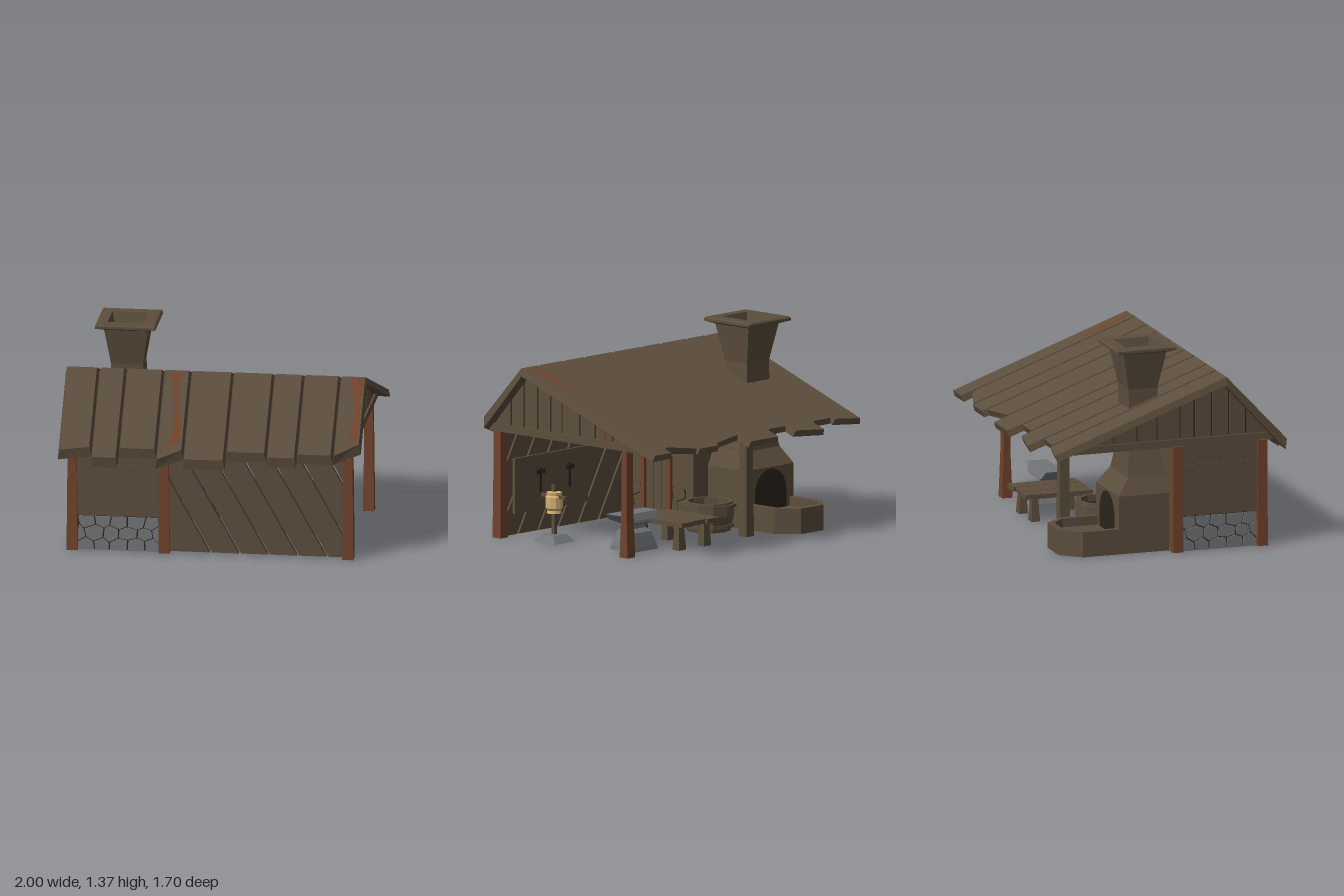
import * as THREE from 'three';

const mat = (name, color) => Object.assign(new THREE.MeshStandardMaterial({ color }), { name });
const wood = mat('weathered wood', 0x5c4e3d);
const red = mat('red wood', 0x70432c);
const stone = mat('stone', 0x747577);
const iron = mat('iron', 0x727578);
const straw = mat('straw', 0xd2b074);
const dark = mat('dark gap', 0x2b241d);

const RIDGE_Z = 0.4, RIDGE_Y = 1.17, FRONT = 1.07, BACK = 0.365, THICK = 0.045;
const roofY = z => RIDGE_Y - (z > RIDGE_Z ? FRONT * (z - RIDGE_Z) : BACK * (RIDGE_Z - z));
const lerp = THREE.MathUtils.lerp;
const hash = (a, b) => { const s = Math.sin(a * 12.99 + b * 78.23) * 43758.5; return s - Math.floor(s) - 0.5; };

// Faceted mesh
function add(parent, name, geo, material) {
  const g = geo.index ? geo.toNonIndexed() : geo;
  g.computeVertexNormals();
  const m = new THREE.Mesh(g, material);
  m.name = name;
  parent.add(m);
  return m;
}

function box(parent, name, material, x0, x1, y0, y1, z0, z1) {
  const g = new THREE.BoxGeometry(x1 - x0, y1 - y0, z1 - z0);
  g.translate((x0 + x1) / 2, (y0 + y1) / 2, (z0 + z1) / 2);
  return add(parent, name, g, material);
}

// Solid through rectangular sections [x0, x1, z0, z1, y]
function loft(parent, name, material, rings) {
  const pos = [], idx = [], n = rings.length;
  for (const [x0, x1, z0, z1, y] of rings) pos.push(x0, y, z0, x0, y, z1, x1, y, z1, x1, y, z0);
  for (let r = 0; r < n - 1; r++) for (let i = 0; i < 4; i++) {
    const a = r * 4 + i, b = r * 4 + (i + 1) % 4;
    idx.push(a, b, b + 4, a, b + 4, a + 4);
  }
  const t = (n - 1) * 4;
  idx.push(0, 2, 1, 0, 3, 2, t, t + 1, t + 2, t, t + 2, t + 3);
  const g = new THREE.BufferGeometry();
  g.setAttribute('position', new THREE.Float32BufferAttribute(pos, 3));
  g.setIndex(idx);
  return add(parent, name, g, material);
}

const shapeOf = pts => new THREE.Shape(pts.map(p => new THREE.Vector2(p[0], p[1])));
const slab = (pts, depth) =>
  new THREE.ExtrudeGeometry(shapeOf(pts), { depth, bevelEnabled: false }).translate(0, 0, -depth / 2);

// One roof plank on one slope, eave running from z = za to z = zb
function roofPlank(parent, x0, x1, za, zb, dir) {
  const g = new THREE.BoxGeometry(1, 1, 1), p = g.attributes.position;
  const slope = dir > 0 ? FRONT : BACK, len = Math.hypot(1, slope);
  for (let i = 0; i < p.count; i++) {
    const u = p.getX(i) + 0.5, top = p.getY(i) > 0, t = 0.5 + dir * p.getZ(i);
    let z = lerp(RIDGE_Z, lerp(za, zb, u), t), y = RIDGE_Y - slope * Math.abs(z - RIDGE_Z);
    if (!top && t < 0.5) y -= THICK * len;
    if (!top && t > 0.5) {
      y -= dir > 0 ? 0.07 : THICK / len;
      z -= dir > 0 ? 0.012 : -THICK * slope / len;
    }
    p.setXYZ(i, lerp(x0, x1, u) + (top ? (u < 0.5 ? 0.012 : -0.012) : 0), y, z);
  }
  add(parent, 'roofPlank', g, wood);
}

// Thin worn patch lying on the roof, points are [x, z]
function patch(parent, pts) {
  const g = new THREE.ShapeGeometry(shapeOf(pts.map(([x, z]) => [x, -z]))).rotateX(-Math.PI / 2);
  const p = g.attributes.position;
  for (let i = 0; i < p.count; i++) p.setY(i, roofY(p.getZ(i)) + 0.005);
  add(parent, 'wornPatch', g, red);
}

// Rubble stones set in a dark core, visible from both sides
function stonePanel(parent, w, h, material) {
  const grp = new THREE.Group();
  grp.name = 'stoneBase';
  box(grp, 'mortar', dark, -w / 2, w / 2, 0.005, h, -0.02, 0.02);
  const rows = 3, rh = h / rows, cw = 0.112;
  const vert = (k, r) => [
    THREE.MathUtils.clamp(k * cw / 2 + hash(k, r) * 0.03, 0, w) - w / 2,
    r === 0 ? 0 : r === rows ? h : r * rh + hash(r + 5, k) * 0.025 + ((k + r) & 1 ? -0.014 : 0.014)];
  for (let r = 0; r < rows; r++) for (let k = -(r % 2); k * cw / 2 < w - 0.02; k += 2) {
    const pts = [[k, r], [k + 1, r], [k + 2, r], [k + 2, r + 1], [k + 1, r + 1], [k, r + 1]].map(a => vert(...a));
    if (Math.max(...pts.map(p => p[0])) - Math.min(...pts.map(p => p[0])) < 0.03) continue;
    const cx = pts.reduce((s, p) => s + p[0], 0) / 6, cy = pts.reduce((s, p) => s + p[1], 0) / 6;
    const inner = pts.map(([x, y]) => [lerp(cx, x, 0.92), lerp(cy, y, 0.92)]);
    add(grp, 'rubbleStone', slab(inner, 0.06), material);
  }
  parent.add(grp);
  return grp;
}

// Keep the part of a polygon where sign * x <= sign * limit
function clipX(pts, limit, sign) {
  const out = [];
  pts.forEach((a, i) => {
    const b = pts[(i + 1) % pts.length], da = sign * (limit - a[0]), db = sign * (limit - b[0]);
    if (da >= 0) out.push(a);
    if (da * db < 0) out.push([limit, lerp(a[1], b[1], da / (da - db))]);
  });
  return out;
}

export function createModel() {
  const model = new THREE.Group();
  model.name = 'smithy';

  // Roof and flat ceiling
  const xs = [-1, -0.78, -0.6, -0.35, -0.17, 0.11, 0.38, 0.58, 0.82, 1];
  const front = [[.82, .8], [.85, .85], [.8, .8], [.85, .8], [.845, .845], [.8, .8], [.82, .82], [.8, .8], [.8, .74]];
  const back = [[.8, .76], [.74, .74], [.85, .81], [.74, .74], [.84, .84], [.74, .79], [.82, .82], [.81, .74], [.81, .81]];
  for (let i = 0; i < 9; i++) {
    roofPlank(model, xs[i], xs[i + 1], front[i][0], front[i][1], 1);
    roofPlank(model, xs[i], xs[i + 1], -back[i][0], -back[i][1], -1);
  }
  patch(model, [[-.3, .41], [-.22, .41], [-.25, .5], [-.19, .7], [-.2, .76], [-.28, .79], [-.24, .66], [-.26, .55]]);
  patch(model, [[.9, .41], [.98, .41], [.975, .72], [.92, .74], [.94, .58]]);
  patch(model, [[.86, .05], [.89, .06], [.9, .2], [.94, .38], [.88, .39], [.85, .2]]);
  patch(model, [[-.275, -.03], [-.26, .05], [-.285, .05]]);
  box(model, 'ceiling', wood, -0.9, 0.9, 0.712, 0.73, -0.68, 0.74);

  // Gables: tie beam and vertical boards under the slopes
  const under = z => roofY(z) - (z > RIDGE_Z ? 0.06 : 0.045);
  const cuts = [0.71, 0.56, 0.44, 0.32, 0.2, 0.1, -0.06, -0.2, -0.36, -0.58];
  for (const s of [-1, 1]) {
    const gable = new THREE.Group();
    gable.name = 'gable';
    add(gable, 'tieBeam', slab([[-.74, .71], [.76, .71], [.72, .76], [-.6, .76]], 0.06), wood);
    add(gable, 'gableGap', slab([[-.6, .75], [.72, .75], [.72, .79], [RIDGE_Z, 1.14], [-.6, .775]], 0.012), dark);
    for (let i = 0; i < cuts.length - 1; i++) {
      const a = cuts[i] - 0.006, b = cuts[i + 1] + 0.006;
      const pts = [[b, .75], [a, .75], [a, Math.max(under(a), .752)]];
      if (a > RIDGE_Z && b < RIDGE_Z) pts.push([RIDGE_Z, under(RIDGE_Z)]);
      pts.push([b, Math.max(under(b), .752)]);
      add(gable, 'gableBoard', slab(pts, 0.035), wood);
    }
    gable.rotation.y = -Math.PI / 2;
    gable.position.x = s * 0.9;
    model.add(gable);
  }
  const gablePatch = slab([[-.31, .765], [-.29, .765], [-.25, .87], [-.28, .88], [-.29, .82]], 0.004);
  add(model, 'gablePatch', gablePatch.rotateY(-Math.PI / 2), red).position.x = 0.92;

  // Posts and eave beam
  const post = (x, z, h, material, top = 0.032) => loft(model, 'post', material, [
    [x - .037, x + .037, z - .036, z + .036, 0],
    [x - .032, x + .034, z - .002 - top, z + top, h * 0.45],
    [x - .03, x + .03, z - top, z + top, h]]);
  for (const x of [-0.92, -0.31, 0.91]) post(x, 0.665, 0.715, red);
  post(-0.92, 0.075, 0.715, red);
  post(0.9, -0.475, 0.715, red, 0.022);
  post(-0.24, -0.475, 0.715, wood);
  post(-0.31, 0.07, 0.715, wood);
  box(model, 'eaveBeam', wood, -0.92, 0.92, 0.69, 0.76, 0.63, 0.68);

  // Slanted boards of the workshop front
  for (let i = -2; i < 6; i++) {
    const t = -0.18 + i * 0.193, w = 0.176, left = i === -2 ? t - 0.3 : t;
    const pts = [[left + .38, .01], [t + w + .38, .01], [t + w, .69], [left, .69]];
    const cut = clipX(clipX(pts, 0.88, 1), -0.29, -1);
    if (cut.length > 2) add(model, 'slantedBoard', slab(cut, 0.035), wood).position.z = 0.655;
  }

  // Tool board on the inside
  box(model, 'toolBoard', wood, 0.12, 0.82, 0.15, 0.52, 0.618, 0.637);
  for (const x of [0.3, 0.58]) {
    box(model, 'toolHandle', dark, x - .01, x + .01, 0.27, 0.43, 0.608, 0.618);
    box(model, 'toolHead', dark, x - .04, x + .04, 0.39, 0.42, 0.605, 0.618);
  }

  // Store room: stone base and horizontal boards
  stonePanel(model, 0.54, 0.235, stone).position.set(-0.615, 0, 0.65);
  const side = stonePanel(model, 0.54, 0.235, stone);
  side.position.set(-0.91, 0, 0.355);
  side.rotation.y = -Math.PI / 2;
  for (const [z, w] of [[0.565, 0.13], [0.165, 0.14]]) {
    const p = stonePanel(model, w, 0.235, wood);
    p.position.set(-0.31, 0, z);
    p.rotation.y = Math.PI / 2;
    box(model, 'doorSideBoard', wood, -0.335, -0.285, 0.235, 0.45, z - w / 2, z + w / 2);
  }
  [[0.235, 0.335], [0.335, 0.585], [0.585, 0.72]].forEach(([a, b], i) => {
    const d = i === 1 ? 0.006 : 0;
    box(model, 'frontBoard', wood, -0.9, -0.33, a, b, 0.625, 0.67 + d);
    box(model, 'sideBoard', wood, -0.93 - d, -0.885, a, b, 0.07, 0.64);
  });
  box(model, 'doorHeadBoard', wood, -0.335, -0.289, 0.44, 0.59, 0.07, 0.64);
  box(model, 'doorTopBoard', wood, -0.335, -0.283, 0.59, 0.72, 0.07, 0.64);
  box(model, 'rearRoomWall', wood, -0.9, -0.31, 0.01, 0.72, 0.05, 0.09);

  // Door with frame
  for (let i = 0; i < 3; i++) box(model, 'doorBoard', wood, -0.325, -0.29, 0.01, 0.42, 0.27 + i * .07, 0.335 + i * .07);
  box(model, 'doorGap', dark, -0.32, -0.3, 0.01, 0.42, 0.26, 0.48);
  for (const z of [0.255, 0.49]) box(model, 'doorJamb', red, -0.34, -0.265, 0, 0.42, z - .016, z + .016);
  box(model, 'doorLintel', red, -0.34, -0.26, 0.415, 0.445, 0.235, 0.51);

  // Forge body, flue and chimney cap
  loft(model, 'forgeChimney', wood, [
    [-.87, -.42, -.31, .04, 0], [-.87, -.42, -.31, .04, .39], [-.82, -.47, -.23, .04, .5],
    [-.76, -.53, -.2, 0, .71], [-.75, -.54, -.2, 0, 1.08], [-.79, -.5, -.25, .05, 1.325],
    [-.845, -.445, -.31, .1, 1.345], [-.845, -.445, -.31, .1, 1.362], [-.835, -.455, -.3, .09, 1.372],
    [-.77, -.53, -.23, .02, 1.372], [-.71, -.59, -.17, -.04, 1.12]]);

  // Forge mouth and hearth trough
  const arch = shapeOf([[-.15, .1], [.15, .1], [.15, .23]]);
  arch.absarc(0, 0.23, 0.15, 0, Math.PI, false);
  const mouth = add(model, 'forgeMouth', new THREE.ShapeGeometry(arch, 5), dark);
  mouth.rotation.y = Math.PI;
  mouth.position.set(-0.645, 0, -0.314);
  const outline = k => [[-.225 + k, .3], [.225 - k, .3], [.225 - k, .56], [.11 - k * .5, .69 - k], [-.11 + k * .5, .69 - k], [-.225 + k, .56]];
  const trough = shapeOf(outline(0));
  trough.holes.push(new THREE.Path(outline(0.04).map(([x, y]) => new THREE.Vector2(x, y < .31 ? .31 : y))));
  const up = (shape, depth) => new THREE.ExtrudeGeometry(shape, { depth, bevelEnabled: false }).rotateX(-Math.PI / 2);
  add(model, 'hearthTrough', up(trough, 0.17), wood).position.x = -0.645;
  add(model, 'hearthBed', up(shapeOf(outline(0.02)), 0.03), wood).position.set(-0.645, 0.08, 0);

  // Quench barrel
  const barrel = new THREE.Group();
  barrel.name = 'quenchBarrel';
  const lathe = pts => new THREE.LatheGeometry(pts.map(p => new THREE.Vector2(p[0], p[1])), 10);
  add(barrel, 'barrelStaves', lathe([[0, .015], [.145, .015], [.17, .12], [.165, .21], [.14, .21], [.14, .16], [0, .16]]), wood);
  for (const [y, r] of [[0.04, 0.168], [0.175, 0.185]])
    add(barrel, 'barrelHoop', lathe([[r - .03, y], [r, y], [r, y + .022], [r - .03, y + .022]]), wood);
  add(barrel, 'water', new THREE.CircleGeometry(0.14, 10).rotateX(-Math.PI / 2), dark).position.y = 0.165;
  barrel.position.set(-0.18, 0, -0.19);
  model.add(barrel);

  // Work table
  for (let i = 0; i < 3; i++) box(model, 'tableBoard', wood, 0.15 + i * .122, 0.265 + i * .122, 0.16, 0.19, -0.6 + (i % 2) * .015, -0.13);
  for (const x of [0.21, 0.45]) for (const z of [-0.52, -0.19])
    loft(model, 'tableLeg', wood, [[x - .035, x + .035, z - .03, z + .03, 0], [x - .022, x + .022, z - .02, z + .02, .165]]);

  // Anvil with flared ends
  const ax = 0.63, az = -0.28;
  const sect = (l, r, d, y) => [ax - l, ax + r, az - d, az + d, y];
  loft(model, 'anvil', iron, [sect(.12, .12, .105, 0), sect(.115, .115, .1, .03), sect(.08, .08, .08, .12),
    sect(.06, .06, .05, .145), sect(.06, .06, .05, .17), sect(.1, .1, .088, .19), sect(.13, .15, .085, .205), sect(.16, .2, .065, .25)]);

  // Practice dummy
  const dummy = new THREE.Group();
  dummy.name = 'practiceDummy';
  loft(dummy, 'dummyFoot', iron, [[-.1, .1, -.1, .1, 0], [-.06, .06, -.05, .05, .05]]);
  box(dummy, 'dummyPole', wood, -.012, .012, .04, .38, -.012, .012);
  box(dummy, 'dummyArms', wood, -.012, .012, .29, .312, -.11, .11);
  add(dummy, 'dummyBody', lathe([[0, .19], [.05, .19], [.045, .21], [.058, .225], [.058, .3], [.05, .31], [.052, .33], [0, .335]]), straw);
  dummy.position.set(0.78, 0, 0.3);
  model.add(dummy);

  return model;
}
